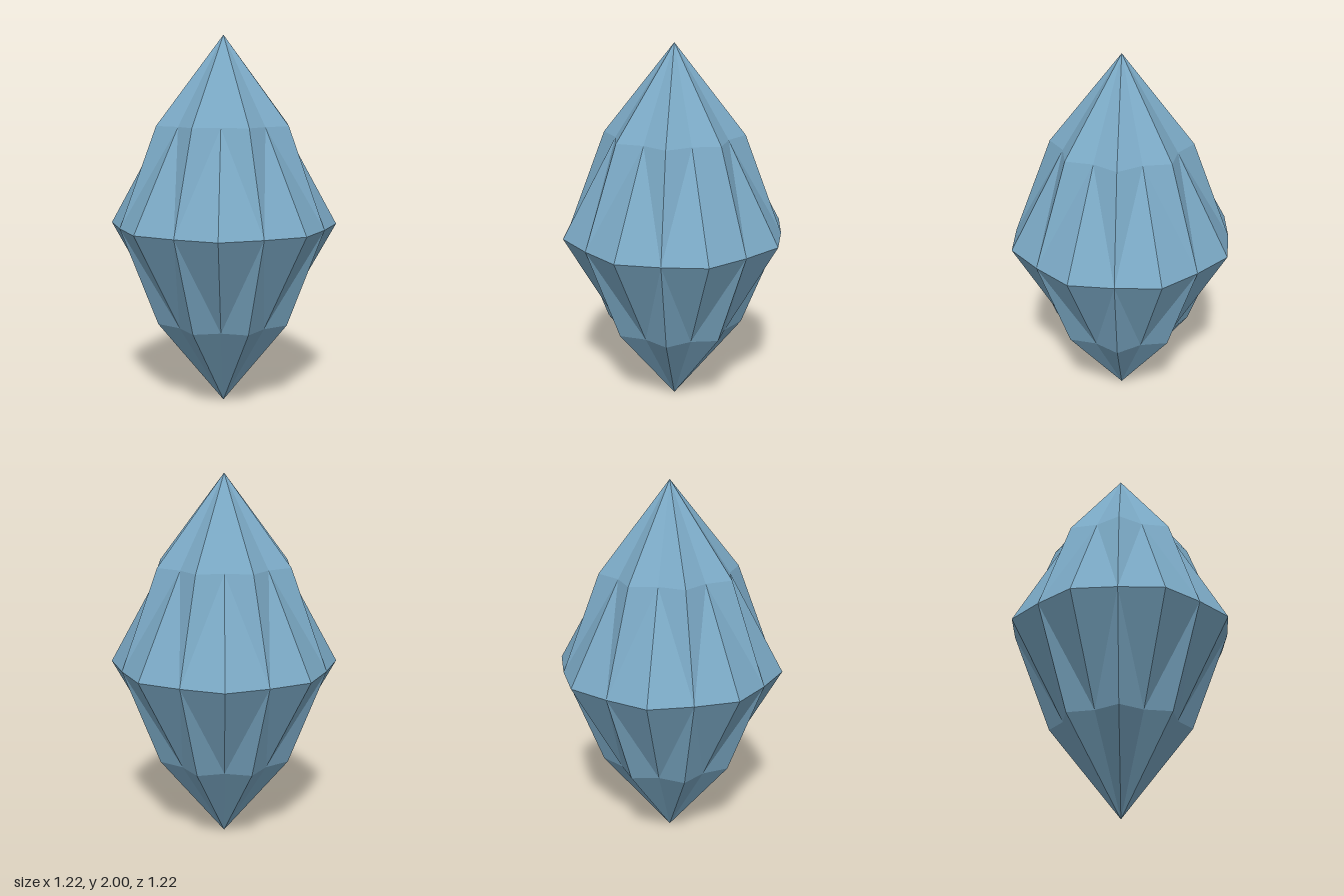
import * as THREE from 'three';

const STEP = Math.PI / 8; // ridges sit 22.5 degrees either side of a facet's centre

// One gem facet: grooved along the middle, ridged along both sides, from girdle to tip
function facetGeometry() {
  const at = (r, y, k) => [r * Math.sin(k * STEP), y, r * Math.cos(k * STEP)];
  const tip = [0, 1, 0];
  const girdle = [at(0.575, 0, -1), at(0.608, 0, 0), at(0.575, 0, 1)];
  const shoulder = [at(0.373, 0.53, -1), at(0.315, 0.53, 0), at(0.373, 0.53, 1)];
  const triangles = [
    [girdle[0], girdle[1], shoulder[1]],
    [girdle[1], girdle[2], shoulder[1]],
    [girdle[0], shoulder[1], shoulder[0]],
    [girdle[2], shoulder[2], shoulder[1]],
    [shoulder[0], shoulder[1], tip],
    [shoulder[1], shoulder[2], tip],
  ];
  const geometry = new THREE.BufferGeometry();
  geometry.setAttribute('position', new THREE.Float32BufferAttribute(triangles.flat(2), 3));
  geometry.computeVertexNormals();
  return geometry;
}

export function createModel() {
  const model = new THREE.Group();
  model.name = 'crystal';
  const material = new THREE.MeshStandardMaterial({ color: 0x7aa8c4, flatShading: true });
  const geometry = facetGeometry();

  // Eight facets make a half; the lower half is the upper one turned over
  for (const name of ['upper', 'lower']) {
    const half = new THREE.Group();
    half.name = name + 'Half';
    half.position.y = 1;
    if (name === 'lower') half.rotation.z = Math.PI;
    for (let i = 0; i < 8; i++) {
      const facet = new THREE.Mesh(geometry, material);
      facet.name = name + 'Facet' + (i + 1);
      facet.rotation.y = i * 2 * STEP;
      half.add(facet);
    }
    model.add(half);
  }
  return model;
}
